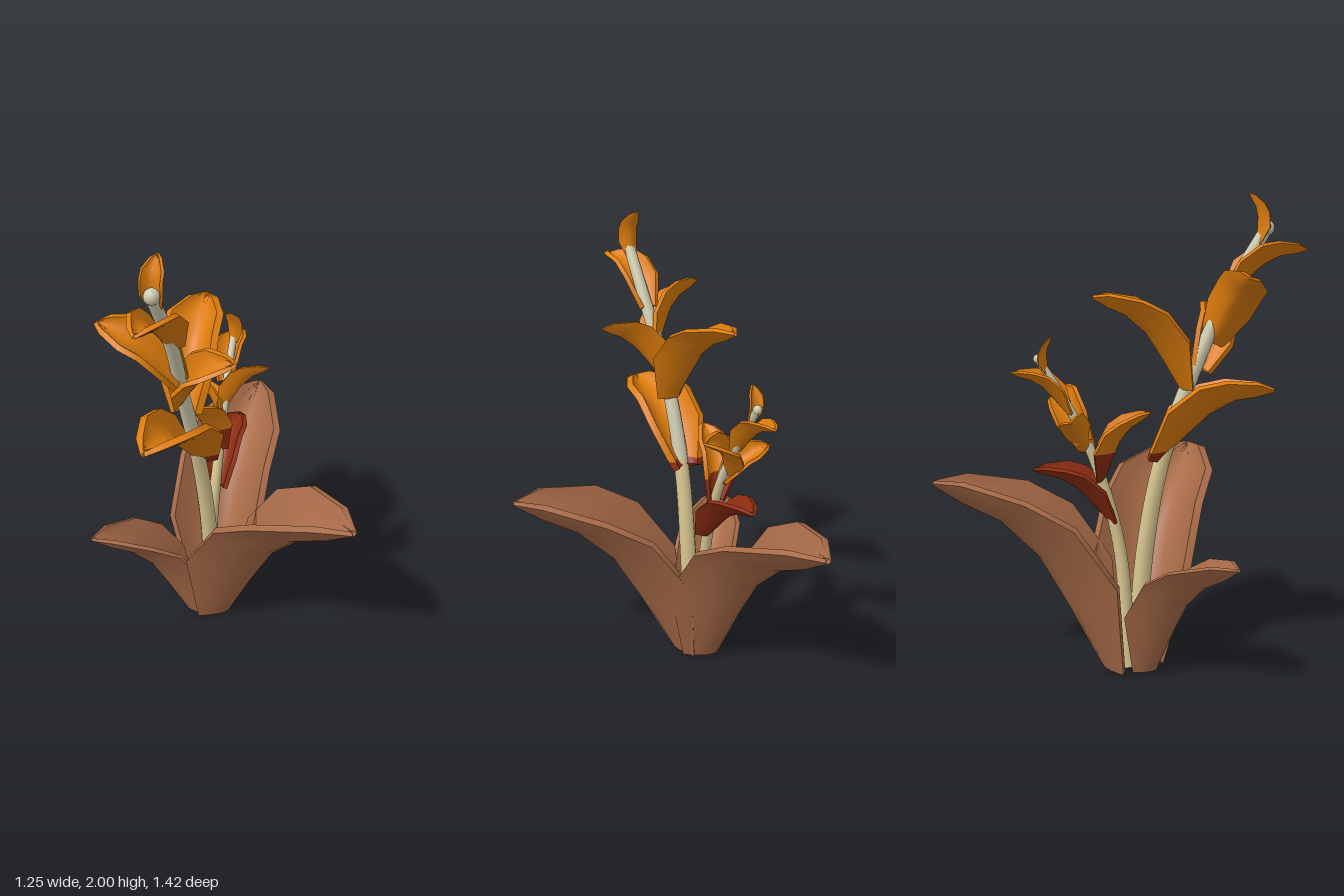
import * as THREE from 'three';
import { toCreasedNormals } from 'three/addons/utils/BufferGeometryUtils.js';

const mat = (name, color) => Object.assign(new THREE.MeshStandardMaterial({ color }), { name });
const leafBrown = mat('leaf brown', 0xa86b48);
const orange = mat('petal orange', 0xdd7c0c);
const red = mat('petal dark red', 0x8c2c10);
const stemTan = mat('stem tan', 0xd8c690);
const stemPale = mat('stem pale grey', 0xd0ccb0);
const SPLIT = 0.94; // height where the lower colours change to the upper ones

const V = (p) => new THREE.Vector3(...p);

// Leaf profile per unit of length: [centre along, centre rise, edge along, edge rise, half width]
const PROFILE = [
  [0, 0, -0.05, 0.055, 0.115],
  [0.28, 0.067, 0.26, 0.28, 0.213],
  [0.51, 0.112, 0.54, 0.31, 0.215],
  [0.72, 0.094, 0.735, 0.24, 0.208],
  [0.86, 0.036, 0.93, 0.1, 0.11],
  [0.99, 0.0, 1.0, 0.005, 0.015],
];

// Cupped leaf shell running from base to tip, hollow side towards "up"
function leafGeometry(base, tip, up, widen, thick) {
  const b = V(base), x = V(tip).sub(b), len = x.length();
  x.normalize();
  const y = V(up).addScaledVector(x, -V(up).dot(x)).normalize();
  const z = new THREE.Vector3().crossVectors(x, y);
  const N = 11, M = 2 * N, pos = [], idx = [];
  for (const [ca, cb, ea, eb, w] of PROFILE) {
    for (let j = 0; j < M; j++) {
      const inner = j >= N;
      const u = ((inner ? M - 1 - j : j) / (N - 1)) * 2 - 1, k = Math.abs(u);
      const f = Math.pow(k, 1.6);
      const t = inner ? thick : 0;
      const half = Math.max(w * widen - t * k, 0.004);
      const p = b.clone()
        .addScaledVector(x, len * (ca + (ea - ca) * f))
        .addScaledVector(y, len * (cb + (eb - cb) * f + t * (1 - 0.5 * k)))
        .addScaledVector(z, len * half * u);
      pos.push(p.x, Math.max(p.y, 0), p.z);
    }
  }
  const rings = PROFILE.length;
  for (let i = 0; i < rings - 1; i++) {
    for (let j = 0; j < M; j++) {
      const a = i * M + j, c = i * M + ((j + 1) % M);
      idx.push(a, a + M, c, c, a + M, c + M);
    }
  }
  // end caps
  const last = (rings - 1) * M;
  for (let j = 0; j < N - 1; j++) {
    const q = [j, j + 1, M - 2 - j, M - 1 - j];
    idx.push(q[0], q[1], q[2], q[0], q[2], q[3]);
    const e = q.map((v) => v + last);
    idx.push(e[0], e[2], e[1], e[0], e[3], e[2]);
  }
  const g = new THREE.BufferGeometry();
  g.setAttribute('position', new THREE.Float32BufferAttribute(pos, 3));
  g.setIndex(idx);
  return toCreasedNormals(g, 0.95);
}

// Keep the part of a geometry above (sign 1) or below (sign -1) the split height
function clip(source, sign) {
  const g = source.index ? source.toNonIndexed() : source;
  const P = g.attributes.position, Nn = g.attributes.normal, pos = [], nor = [];
  for (let i = 0; i < P.count; i += 3) {
    const tri = [0, 1, 2].map((k) => ({
      p: new THREE.Vector3().fromBufferAttribute(P, i + k),
      n: new THREE.Vector3().fromBufferAttribute(Nn, i + k),
    }));
    const out = [];
    tri.forEach((a, k) => {
      const c = tri[(k + 1) % 3];
      const da = (a.p.y - SPLIT) * sign, dc = (c.p.y - SPLIT) * sign;
      if (da >= 0) out.push(a);
      if (da * dc < 0) {
        const t = da / (da - dc);
        out.push({ p: a.p.clone().lerp(c.p, t), n: a.n.clone().lerp(c.n, t).normalize() });
      }
    });
    for (let k = 1; k < out.length - 1; k++) {
      for (const v of [out[0], out[k], out[k + 1]]) {
        pos.push(...v.p.toArray());
        nor.push(...v.n.toArray());
      }
    }
  }
  const r = new THREE.BufferGeometry();
  r.setAttribute('position', new THREE.Float32BufferAttribute(pos, 3));
  r.setAttribute('normal', new THREE.Float32BufferAttribute(nor, 3));
  return r;
}

function addMesh(parent, name, geometry, material) {
  const m = new THREE.Mesh(geometry, material);
  m.name = name;
  parent.add(m);
}

// Two-coloured part
function addSplit(parent, name, geometry, lower, upper) {
  for (const [sign, suffix, m] of [[-1, 'Lower', lower], [1, 'Upper', upper]]) {
    const part = clip(geometry, sign);
    if (part.attributes.position.count) addMesh(parent, name + suffix, part, m);
  }
}

// Tapered stem along a curve
function stemGeometry(points, r0, r1) {
  const curve = new THREE.CatmullRomCurve3(points.map(V));
  const n = 24, sides = 10;
  const g = new THREE.TubeGeometry(curve, n, 1, sides);
  const p = g.attributes.position, v = new THREE.Vector3();
  for (let i = 0; i <= n; i++) {
    const c = curve.getPointAt(i / n), r = r0 + ((r1 - r0) * i) / n;
    for (let j = 0; j <= sides; j++) {
      const k = i * (sides + 1) + j;
      v.fromBufferAttribute(p, k).sub(c).multiplyScalar(r).add(c);
      p.setXYZ(k, v.x, Math.max(v.y, 0), v.z);
    }
  }
  return g;
}

function flowerStalk(name, points, r0, r1, lean, petals) {
  const group = new THREE.Group();
  group.name = name;
  addSplit(group, 'stem', stemGeometry(points, r0, r1), stemTan, stemPale);
  const foot = new THREE.CircleGeometry(r0, 10).rotateX(Math.PI / 2);
  foot.translate(points[0][0], 0.002, points[0][2]);
  addMesh(group, 'stemFoot', foot, stemTan);
  const bud = new THREE.SphereGeometry(r1 * 1.25, 12, 8);
  bud.translate(...points[points.length - 1]);
  addMesh(group, 'bud', bud, stemPale);
  petals.forEach(([base, tip], i) => {
    addSplit(group, 'petal' + (i + 1), leafGeometry(base, tip, lean, 1.12, 0.05), red, orange);
  });
  return group;
}

export function createModel() {
  const model = new THREE.Group();
  model.name = 'plant';

  // three large base leaves
  const leaves = [
    ['leftLeaf', [-0.1, 0, 0.05], [0.63, 0.82, 0.05]],
    ['backLeaf', [-0.28, 0, -0.07], [-0.57, 0.82, -0.71]],
    ['frontLeaf', [-0.27, 0, 0.165], [-0.46, 0.54, 0.57]],
  ];
  for (const [name, base, tip] of leaves) {
    addMesh(model, name, leafGeometry(base, tip, [0, 1, 0], 1, 0.028), leafBrown);
  }

  // tall stalk leaning forward
  model.add(flowerStalk('tallStalk',
    [[-0.2, 0, 0.06], [-0.18, 0.5, 0.09], [-0.16, 0.9, 0.16], [-0.11, 1.3, 0.29], [-0.04, 1.6, 0.41], [0.02, 1.86, 0.55]],
    0.042, 0.026, [0.2, 1, 0.45], [
      [[-0.17, 0.89, 0.15], [-0.02, 1.19, 0.61]],
      [[-0.14, 1.2, 0.23], [-0.33, 1.58, -0.09]],
      [[-0.1, 1.28, 0.3], [0.18, 1.53, 0.27]],
      [[-0.08, 1.39, 0.35], [-0.31, 1.66, 0.56]],
      [[-0.04, 1.58, 0.41], [0.09, 1.77, 0.71]],
      [[0, 1.8, 0.51], [-0.01, 2.0, 0.48]],
    ]));

  // short stalk leaning back
  model.add(flowerStalk('shortStalk',
    [[-0.25, 0, 0.04], [-0.24, 0.5, 0], [-0.26, 0.8, -0.07], [-0.29, 1, -0.14], [-0.33, 1.17, -0.22], [-0.37, 1.33, -0.31]],
    0.034, 0.016, [-0.25, 1, -0.45], [
      [[-0.24, 0.63, -0.05], [-0.37, 0.86, -0.34]],
      [[-0.26, 0.82, -0.06], [-0.25, 1.11, 0.14]],
      [[-0.29, 0.94, -0.12], [-0.49, 1.09, -0.12]],
      [[-0.29, 0.98, -0.14], [-0.15, 1.19, -0.3]],
      [[-0.33, 1.1, -0.2], [-0.42, 1.27, -0.41]],
      [[-0.35, 1.27, -0.27], [-0.36, 1.42, -0.25]],
    ]));

  return model;
}
